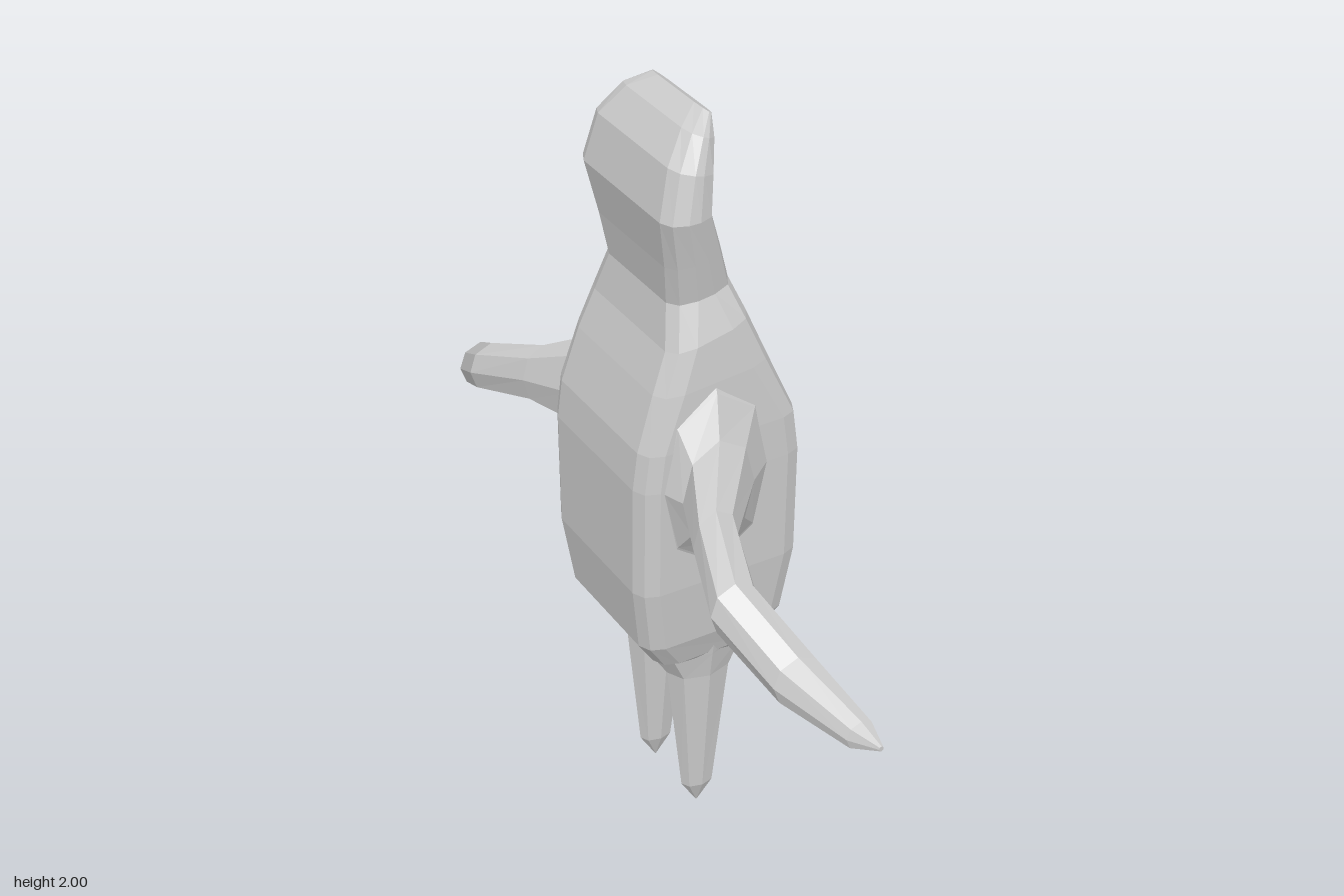
import * as THREE from 'three';

const material = new THREE.MeshStandardMaterial({ color: 0xcccccc, flatShading: true });

// Skin a list of equal-length rings (arrays of Vector3) and close both ends.
function loft(name, rings) {
  const tris = [];
  const n = rings[0].length;
  const centre = (r) => r.reduce((s, p) => s.add(p), new THREE.Vector3()).divideScalar(n);
  for (let i = 0; i < rings.length - 1; i++) {
    for (let j = 0; j < n; j++) {
      const k = (j + 1) % n;
      const [a, b, c, d] = [rings[i][j], rings[i][k], rings[i + 1][k], rings[i + 1][j]];
      tris.push([a, b, c], [a, c, d]);
    }
  }
  const first = rings[0], last = rings[rings.length - 1];
  const c0 = centre(first), c1 = centre(last);
  for (let j = 0; j < n; j++) {
    const k = (j + 1) % n;
    tris.push([c0, first[k], first[j]], [c1, last[j], last[k]]);
  }
  // The signed volume tells whether the faces point outward.
  const cross = new THREE.Vector3();
  const volume = tris.reduce((v, [a, b, c]) => v + a.dot(cross.crossVectors(b, c)), 0);
  if (volume < 0) tris.forEach((t) => t.reverse());
  const geometry = new THREE.BufferGeometry().setFromPoints(tris.flat());
  geometry.computeVertexNormals();
  const mesh = new THREE.Mesh(geometry, material);
  mesh.name = name;
  return mesh;
}

// Rounded-rectangle outline in the range -1..1; cu and cv are the corner sizes.
function roundedOutline(cu, cv) {
  const points = [];
  for (const [su, sv, flip] of [[1, 1, 0], [-1, 1, 1], [-1, -1, 0], [1, -1, 1]]) {
    const corner = [[1, 1 - cv], [1 - cu * 0.3, 1 - cv * 0.3], [1 - cu, 1]];
    if (flip) corner.reverse();
    corner.forEach(([u, v]) => points.push([u * su, v * sv]));
  }
  return points;
}

// Eight-sided outline for the limbs.
const octagon = [[1, 0], [0.74, 0.7], [0, 1], [-0.74, 0.7], [-1, 0], [-0.74, -0.7], [0, -1], [0.74, -0.7]];

// Torso and head: back x, back y, front x, front y, half width in z, corner depth in x
function createBody() {
  const sections = [
    [-0.1, 0.51, 0.12, 0.5, 0.15, 0.05],
    [-0.13, 0.535, 0.165, 0.54, 0.18, 0.05],
    [-0.185, 0.62, 0.215, 0.62, 0.208, 0.05],
    [-0.21, 0.8, 0.24, 0.8, 0.225, 0.05],
    [-0.21, 1.1, 0.24, 1.095, 0.23, 0.05],
    [-0.197, 1.2, 0.225, 1.205, 0.23, 0.05],
    [-0.152, 1.34, 0.152, 1.37, 0.223, 0.06],
    [-0.112, 1.44, 0.102, 1.49, 0.212, 0.06],
    [-0.09, 1.545, 0.073, 1.57, 0.178, 0.06],
    [-0.105, 1.65, 0.04, 1.67, 0.197, 0.055],
    [-0.13, 1.78, 0, 1.78, 0.22, 0.05],
    [-0.1, 1.9, 0.012, 1.87, 0.203, 0.045],
    [-0.045, 1.97, 0.03, 1.94, 0.168, 0.03],
    [0.013, 2, 0.042, 1.98, 0.125, 0.012],
  ];
  return loft('body', sections.map(([xb, yb, xf, yf, hz, c]) =>
    roundedOutline((2 * c) / (xf - xb), 0.045 / hz).map(([u, v]) => {
      const t = (u + 1) / 2;
      return new THREE.Vector3(xb + (xf - xb) * t, yb + (yf - yb) * t, v * hz);
    })));
}

// Legs: y, back x, front x, inner z, outer z
function createLeg(side) {
  const sections = [
    [0.6, -0.15, 0.18, 0, 0.195],
    [0.53, -0.12, 0.15, 0.005, 0.182],
    [0.45, -0.07, 0.105, 0.038, 0.167],
    [0.07, -0.03, 0.06, 0.077, 0.138],
    [0, 0.013, 0.017, 0.105, 0.109],
  ];
  return loft(side > 0 ? 'leftLeg' : 'rightLeg', sections.map(([y, x0, x1, z0, z1]) =>
    octagon.map(([u, v]) => new THREE.Vector3(
      (x0 + x1) / 2 + (u * (x1 - x0)) / 2, y, side * ((z0 + z1) / 2 + (v * (z1 - z0)) / 2)))));
}

// Arms: z, back x, front x, lower y, upper y
function createArm(side) {
  const sections = [
    [0.2, -0.17, 0.16, 0.78, 1.38],
    [0.23, -0.15, 0.13, 0.86, 1.33],
    [0.28, -0.13, 0.065, 0.95, 1.235],
    [0.42, -0.185, -0.065, 0.985, 1.155],
    [0.6, -0.245, -0.12, 0.945, 1.085],
    [0.78, -0.19, -0.065, 0.85, 0.978],
    [0.905, -0.075, 0, 0.772, 0.848],
    [0.948, -0.016, -0.004, 0.782, 0.796],
  ];
  return loft(side > 0 ? 'leftArm' : 'rightArm', sections.map(([z, x0, x1, y0, y1]) =>
    octagon.map(([u, v]) => new THREE.Vector3(
      (x0 + x1) / 2 + (u * (x1 - x0)) / 2, (y0 + y1) / 2 + (v * (y1 - y0)) / 2, side * z))));
}

export function createModel() {
  const model = new THREE.Group();
  model.name = 'figure';
  model.add(createBody());
  for (const side of [1, -1]) model.add(createLeg(side), createArm(side));
  return model;
}
